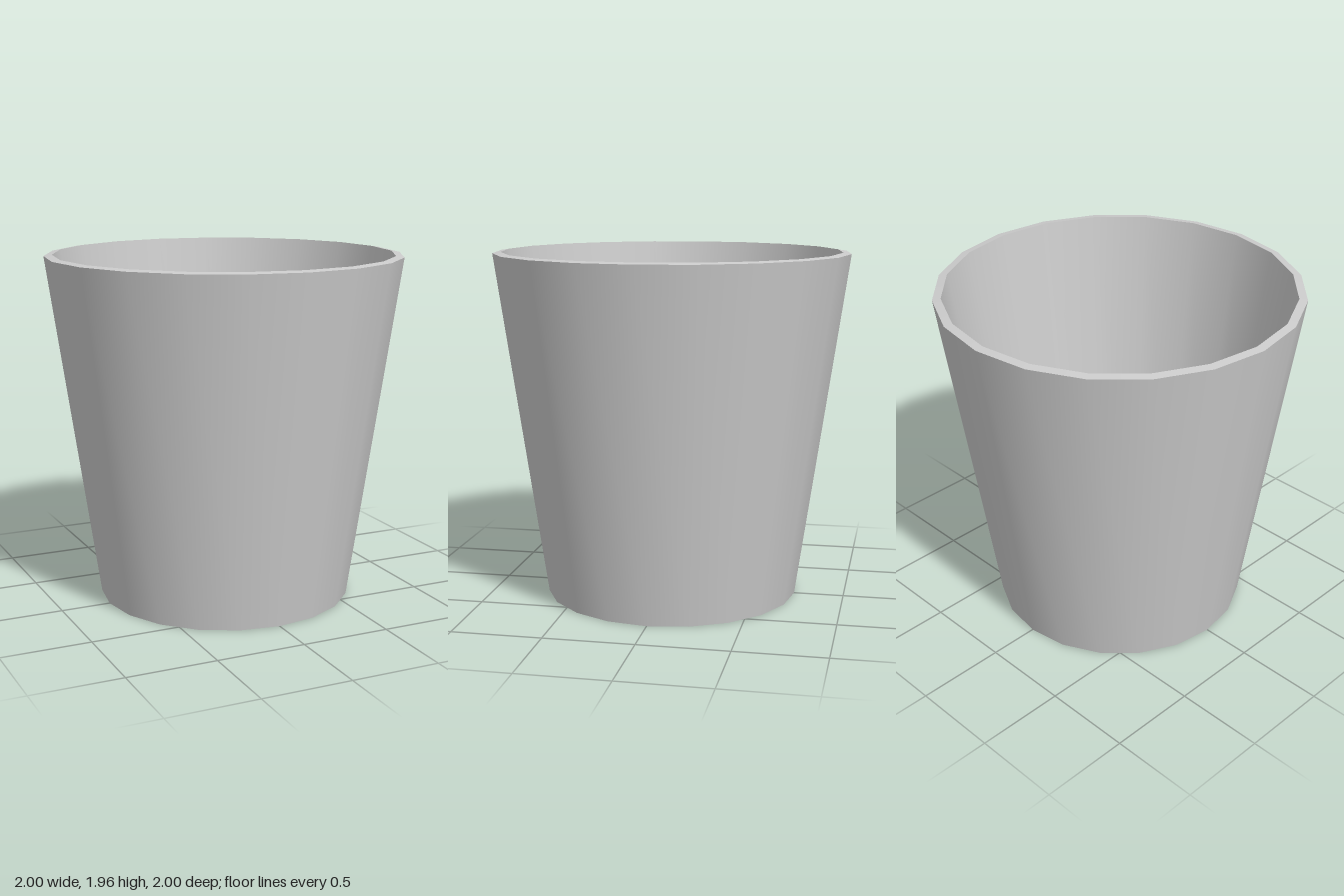
import * as THREE from 'three';

const SIDES = 20;

// Profile of the cup wall, from the base centre round to the floor centre
const profile = [
  [0, 0],          // base centre
  [0.718, 0],      // outer foot
  [1.0, 1.95],     // outer lip
  [0.954, 1.957],  // inner lip
  [0.677, 0.045],  // inner foot
  [0, 0.045],      // floor centre
].map(([r, y]) => new THREE.Vector2(r, y));

const partNames = ['base', 'outerWall', 'rim', 'innerWall', 'floor'];

export function createModel() {
  const cup = new THREE.Group();
  cup.name = 'cup';
  const material = new THREE.MeshStandardMaterial({ color: 0xcccccc });

  // One lathed band per profile segment: smooth around, crisp between bands
  partNames.forEach((name, i) => {
    const band = new THREE.LatheGeometry([profile[i], profile[i + 1]], SIDES);
    const mesh = new THREE.Mesh(band, material);
    mesh.name = name;
    cup.add(mesh);
  });
  return cup;
}
